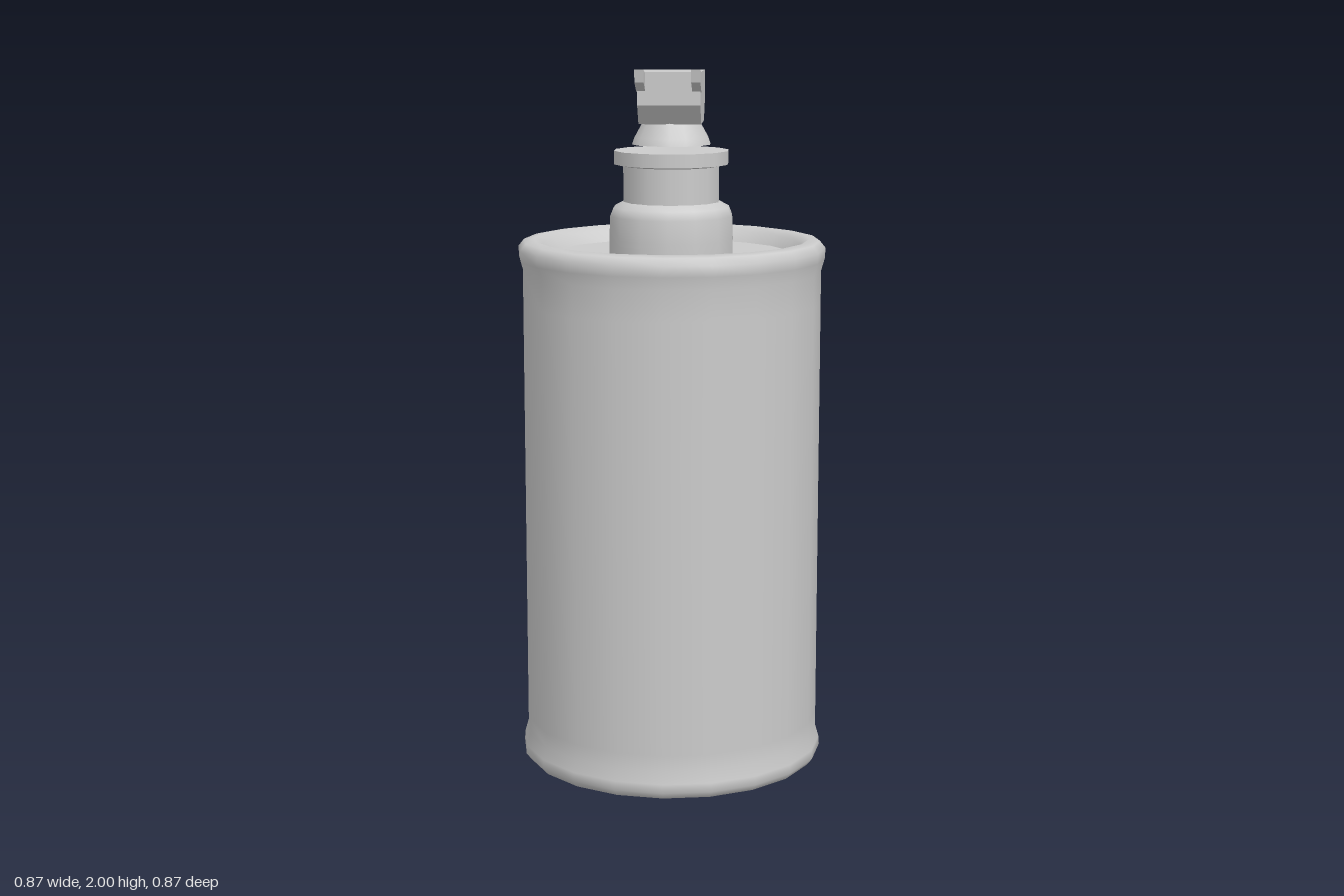
import * as THREE from 'three';

const material = () => new THREE.MeshStandardMaterial({ color: 0xcccccc });

// Turned part: smooth normals, with a sharp crease wherever a point is repeated
function turned(name, sides, profile) {
  const points = profile.map(([r, y]) => new THREE.Vector2(r, y));
  const mesh = new THREE.Mesh(new THREE.LatheGeometry(points, sides), material());
  mesh.name = name;
  return mesh;
}

// Side outline given as [z, y], extruded across x and centred on x
function sidePlate(name, outline, width, x) {
  const shape = new THREE.Shape(outline.map(([z, y]) => new THREE.Vector2(z, y)));
  const geometry = new THREE.ExtrudeGeometry(shape, { depth: width, bevelEnabled: false });
  geometry.translate(0, 0, -width / 2).rotateY(-Math.PI / 2);
  const mesh = new THREE.Mesh(geometry, material());
  mesh.name = name;
  mesh.position.x = x;
  return mesh;
}

export function createModel() {
  const model = new THREE.Group();
  model.name = 'sprayCanister';

  // Can with rolled rims and recessed ends
  model.add(turned('canBody', 20, [
    [0, 0.045], [0.345, 0.045], [0.345, 0.045], [0.36, 0.02], [0.385, 0.0],
    [0.42, 0.005], [0.436, 0.025], [0.434, 0.05], [0.424, 0.085], [0.424, 0.13],
    [0.424, 0.13], [0.424, 1.34], [0.424, 1.34], [0.424, 1.43], [0.434, 1.465],
    [0.436, 1.495], [0.42, 1.515], [0.39, 1.52], [0.365, 1.505], [0.345, 1.475],
    [0.345, 1.475], [0, 1.475],
  ]));

  // Stepped neck with a flange
  model.add(turned('neck', 14, [
    [0.177, 1.475], [0.177, 1.52], [0.175, 1.585], [0.165, 1.61], [0.137, 1.625], [0.137, 1.625],
    [0.137, 1.725], [0.137, 1.725], [0.163, 1.73], [0.163, 1.73],
    [0.163, 1.768], [0.163, 1.768], [0, 1.768],
  ]));

  // Flared collar under the nozzle head
  model.add(turned('nozzleCollar', 14, [
    [0, 1.785], [0.112, 1.785], [0.112, 1.785], [0.105, 1.805], [0.08, 1.85], [0.08, 1.85], [0, 1.85],
  ]));

  // Nozzle head with chamfered underside
  model.add(sidePlate('nozzleHead', [
    [0.08, 1.845], [0.13, 1.9], [0.13, 1.99], [-0.155, 1.985], [-0.162, 1.9], [-0.1, 1.845],
  ], 0.174, 0));

  // Pair of prongs at the front of the head
  for (const side of [-1, 1]) {
    model.add(sidePlate(side > 0 ? 'leftProng' : 'rightProng', [
      [0.12, 1.935], [0.135, 1.94], [0.195, 1.965], [0.202, 2.0], [0.12, 1.985],
    ], 0.025, side * 0.077));
  }
  return model;
}
